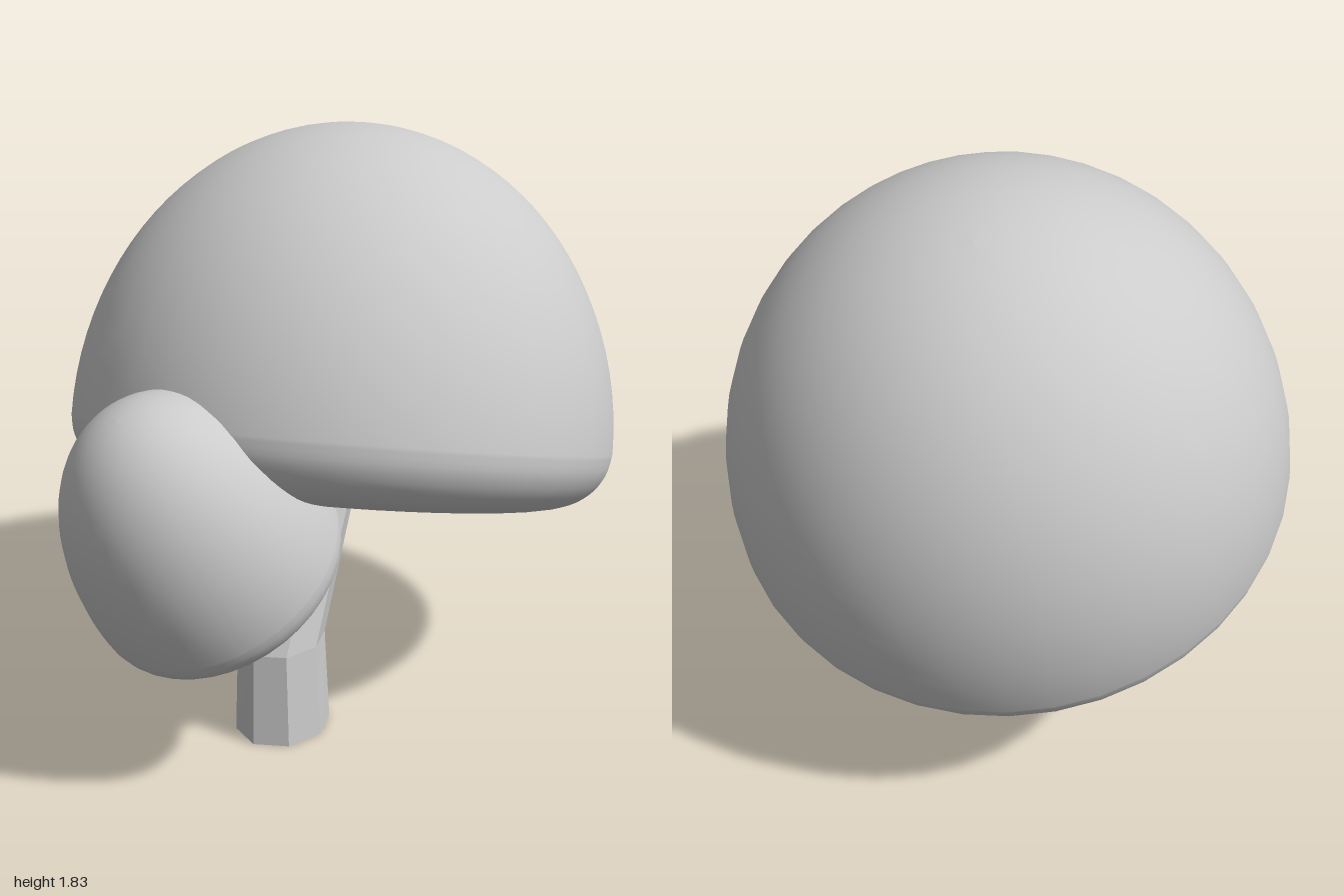
import * as THREE from 'three';

const smooth = new THREE.MeshStandardMaterial({ color: 0xcccccc });
const faceted = new THREE.MeshStandardMaterial({ color: 0xcccccc, flatShading: true, side: THREE.DoubleSide });
const UP = new THREE.Vector3(0, 1, 0);

// Dome profile (radius, height): shallow underside and tight rim, then a quarter ellipse to the crown
const RIM = { radius: 0.868, height: 0.17, rise: 0.995 };
const UNDERSIDE = [[0, -0.04], [0.3, -0.037], [0.55, -0.027], [0.72, -0.005], [0.805, 0.04], [0.853, 0.105], [RIM.radius, RIM.height]];

function domeProfile() {
  const lower = new THREE.SplineCurve(UNDERSIDE.map(([r, h]) => new THREE.Vector2(r, h))).getPoints(24);
  const upper = [];
  for (let i = 1; i <= 24; i++) {
    const a = (i / 24) * Math.PI / 2;
    upper.push(new THREE.Vector2(RIM.radius * Math.cos(a), RIM.height + RIM.rise * Math.sin(a)));
  }
  return [...lower, ...upper];
}

// Tilted dome of foliage standing on its base centre
function canopy(name, base, axis, radiusScale, heightScale) {
  const mesh = new THREE.Mesh(new THREE.LatheGeometry(domeProfile(), 40), smooth);
  mesh.name = name;
  mesh.scale.set(radiusScale, heightScale, radiusScale);
  mesh.quaternion.setFromUnitVectors(UP, new THREE.Vector3(...axis).normalize());
  mesh.position.set(...base);
  return mesh;
}

// Open faceted tube through rings of [x, y, z, radiusX, radiusZ, rise per unit z]
function limb(name, rings, sides, turn) {
  const positions = [];
  const index = [];
  for (const [x, y, z, rx, rz, slope] of rings) {
    for (let i = 0; i < sides; i++) {
      const a = turn + (i / sides) * Math.PI * 2;
      const dz = rz * Math.sin(a);
      positions.push(x + rx * Math.cos(a), y + slope * dz, z + dz);
    }
  }
  for (let r = 0; r < rings.length - 1; r++) {
    for (let i = 0; i < sides; i++) {
      const a = r * sides + i;
      const b = r * sides + ((i + 1) % sides);
      index.push(a, a + sides, b, b, a + sides, b + sides);
    }
  }
  const geometry = new THREE.BufferGeometry();
  geometry.setAttribute('position', new THREE.Float32BufferAttribute(positions, 3));
  geometry.setIndex(index);
  geometry.computeVertexNormals();
  const mesh = new THREE.Mesh(geometry, faceted);
  mesh.name = name;
  return mesh;
}

export function createModel() {
  const tree = new THREE.Group();
  tree.name = 'tree';

  // Foliage
  tree.add(canopy('largeCanopy', [0.02, 0.69, -0.075], [-0.125, 1, -0.31], 1, 1));
  tree.add(canopy('smallCanopy', [0.02, 0.565, 0.485], [-0.1, 0.848, 0.53], 0.45, 0.61));

  // Bent trunk: upright foot, then leaning back into the large canopy
  tree.add(limb('trunk', [
    [0.06, 0, 0.283, 0.142, 0.164, 0],
    [0.055, 0.3, 0.28, 0.128, 0.152, 0],
    [0.045, 0.82, 0.033, 0.115, 0.122, 0.25],
  ], 8, -0.05));

  // Short branch carrying the small canopy
  tree.add(limb('branch', [
    [0.075, 0.36, 0.33, 0.058, 0.058, 0],
    [0.06, 0.74, 0.435, 0.048, 0.05, -0.2],
  ], 6, 0.25));

  return tree;
}
